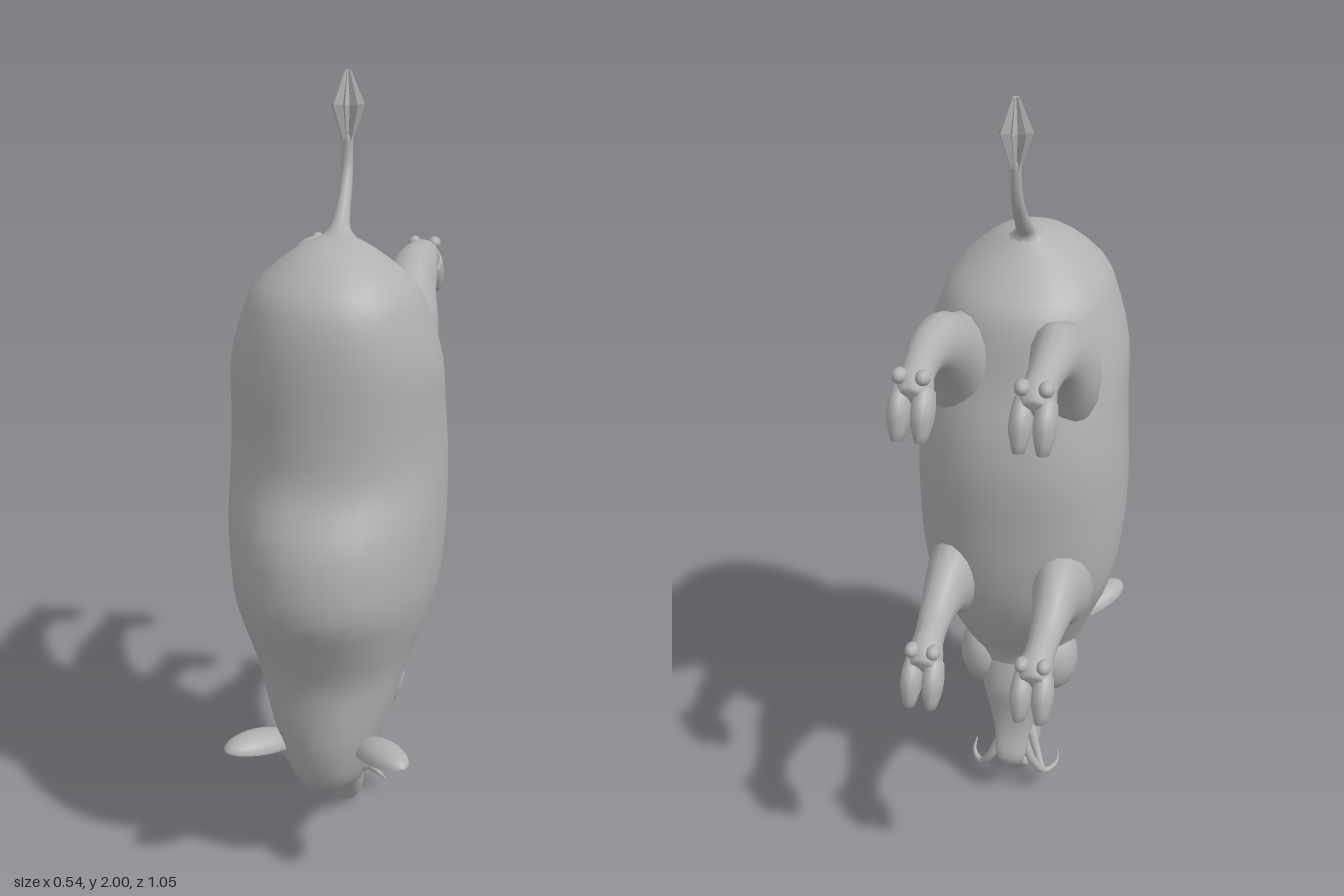
import * as THREE from 'three';

const hide = new THREE.MeshStandardMaterial({ color: 0xb0b0b0 });

// Catmull-Rom subdivision of section rows
function refine(rows, k) {
  const out = [];
  const at = i => rows[Math.min(Math.max(i, 0), rows.length - 1)];
  for (let i = 0; i < rows.length - 1; i++) {
    for (let s = 0; s < k; s++) {
      const t = s / k;
      out.push(at(i).map((b, c) => {
        const a = at(i - 1)[c], d = at(i + 1)[c], e = at(i + 2)[c];
        return b + 0.5 * t * (d - a + t * (2 * a - 5 * b + 4 * d - e + t * (3 * (b - d) + e - a)));
      }));
    }
  }
  out.push(rows[rows.length - 1]);
  return out;
}

// Loft of oval sections; row = [z, y of one edge, z, y of opposite edge, half width, centre x, widest fraction]
function loft(rows, { n = 24, k = 3, power = 1, star = 1 } = {}) {
  const pos = [], idx = [];
  const sections = refine(rows.map(r => [...r.slice(0, 5), r[5] ?? 0, r[6] ?? 0.5]), k);
  const soft = v => Math.sign(v) * Math.abs(v) ** power;
  for (const [pz, py, qz, qy, w, cx, m] of sections) {
    for (let j = 0; j < n; j++) {
      const a = j / n * Math.PI * 2, r = j % 2 ? star : 1;
      const c = soft(Math.cos(a)) * r, s = soft(Math.sin(a)) * r;
      const t = m + s * (s > 0 ? 1 - m : m);
      pos.push(cx + c * w, py + (qy - py) * t, pz + (qz - pz) * t);
    }
  }
  const last = sections.length - 1;
  for (let i = 0; i < last; i++) {
    for (let j = 0; j < n; j++) {
      const a = i * n + j, b = i * n + (j + 1) % n;
      idx.push(a, b, b + n, a, b + n, a + n);
    }
  }
  // end caps
  for (const i of [0, last]) {
    const [pz, py, qz, qy, , cx] = sections[i], c = pos.length / 3;
    pos.push(cx, (py + qy) / 2, (pz + qz) / 2);
    for (let j = 0; j < n; j++) {
      const a = i * n + j, b = i * n + (j + 1) % n;
      idx.push(c, ...(i ? [a, b] : [b, a]));
    }
  }
  const g = new THREE.BufferGeometry();
  g.setAttribute('position', new THREE.Float32BufferAttribute(pos, 3));
  g.setIndex(idx);
  g.computeVertexNormals();
  return g;
}

export function createModel() {
  const model = new THREE.Group();
  model.name = 'boar';
  const add = (name, geometry, parent = model) => {
    const mesh = new THREE.Mesh(geometry, hide);
    mesh.name = name;
    parent.add(mesh);
    return mesh;
  };
  const blob = (name, x, y, z, rx, ry, rz) => {
    const mesh = add(name, new THREE.SphereGeometry(1, 16, 12));
    mesh.position.set(x, y, z);
    mesh.scale.set(rx, ry, rz);
    return mesh;
  };

  // Trunk, skull and upper snout, rump to nose
  add('body', loft([
    [0.08, 1.63, 0.16, 1.635, 0.03, 0, 0.5],
    [0.03, 1.59, 0.26, 1.615, 0.10, 0, 0.5],
    [-0.07, 1.51, 0.36, 1.54, 0.19, 0, 0.5],
    [-0.11, 1.44, 0.40, 1.46, 0.225, 0, 0.48],
    [-0.14, 1.32, 0.415, 1.35, 0.257, 0, 0.46],
    [-0.18, 1.2, 0.42, 1.2, 0.263, 0, 0.44],
    [-0.20, 1.08, 0.435, 1.08, 0.27, 0, 0.42],
    [-0.20, 0.95, 0.505, 0.95, 0.272, 0, 0.38],
    [-0.195, 0.8, 0.525, 0.8, 0.265, 0, 0.37],
    [-0.175, 0.68, 0.48, 0.69, 0.245, 0, 0.38],
    [-0.13, 0.57, 0.435, 0.58, 0.205, 0, 0.42],
    [-0.075, 0.47, 0.428, 0.47, 0.17, 0, 0.45],
    [-0.06, 0.38, 0.42, 0.38, 0.145, 0, 0.45],
    [-0.01, 0.31, 0.385, 0.28, 0.115, 0, 0.45],
    [0.025, 0.25, 0.31, 0.22, 0.095, 0, 0.45],
    [0.02, 0.19, 0.20, 0.185, 0.075, 0, 0.5],
    [-0.005, 0.13, 0.125, 0.115, 0.058, 0, 0.5],
    [-0.025, 0.09, 0.07, 0.055, 0.052, 0, 0.5],
    [-0.03, 0.065, 0.025, 0.008, 0.04, 0, 0.5],
    [-0.02, 0.05, 0.01, 0.005, 0.02, 0, 0.5],
  ], { n: 32, power: 0.92 }));

  // Open lower jaw
  add('lowerJaw', loft([
    [-0.06, 0.46, 0.06, 0.44, 0.10],
    [-0.092, 0.36, 0.04, 0.34, 0.095],
    [-0.09, 0.28, -0.02, 0.28, 0.07],
    [-0.098, 0.21, -0.06, 0.21, 0.05],
    [-0.122, 0.145, -0.08, 0.15, 0.043],
    [-0.112, 0.11, -0.092, 0.115, 0.025],
  ], { n: 16 }));

  // Tail with a flared root
  add('tail', loft([
    [0.17, 1.615, 0.05, 1.6, 0.07],
    [0.12, 1.645, 0.07, 1.63, 0.03],
    [0.07, 1.685, 0.04, 1.66, 0.02],
    [0.02, 1.74, -0.008, 1.72, 0.016],
    [-0.005, 1.79, -0.03, 1.78, 0.014],
    [-0.01, 1.85, -0.035, 1.85, 0.012],
  ], { n: 10 }));
  add('tailTuft', loft([
    [-0.01, 1.83, -0.034, 1.83, 0.012],
    [0.02, 1.92, -0.064, 1.92, 0.042],
    [-0.014, 2, -0.03, 2, 0.008],
  ], { n: 16, k: 1, star: 0.5 }).toNonIndexed()).geometry.computeVertexNormals();

  // Leg sections as [upper z, y, lower z, y, half width, distance from the middle]
  const hindLeg = [
    [0.02, 1.46, 0, 1.16, 0.09, 0.12],
    [-0.09, 1.49, -0.10, 1.21, 0.088, 0.135],
    [-0.19, 1.537, -0.16, 1.31, 0.07, 0.135],
    [-0.26, 1.543, -0.235, 1.39, 0.058, 0.142],
    [-0.34, 1.535, -0.32, 1.438, 0.046, 0.143],
    [-0.41, 1.52, -0.40, 1.438, 0.039, 0.14],
    [-0.465, 1.505, -0.435, 1.415, 0.046, 0.137],
    [-0.49, 1.475, -0.455, 1.405, 0.035, 0.137],
  ];
  const foreLeg = [
    [0, 0.82, 0, 0.56, 0.09, 0.12],
    [-0.1, 0.868, -0.11, 0.62, 0.085, 0.135],
    [-0.19, 0.868, -0.17, 0.665, 0.065, 0.14],
    [-0.26, 0.838, -0.24, 0.70, 0.052, 0.143],
    [-0.34, 0.795, -0.33, 0.715, 0.041, 0.143],
    [-0.41, 0.782, -0.395, 0.695, 0.038, 0.14],
    [-0.465, 0.765, -0.43, 0.675, 0.046, 0.137],
    [-0.49, 0.735, -0.455, 0.665, 0.035, 0.137],
  ];
  // Cloven toe, relative to the foot height
  const toe = [
    [-0.465, 0.06, -0.425, 0, 0.022],
    [-0.50, 0.035, -0.435, -0.02, 0.027],
    [-0.522, -0.005, -0.455, -0.045, 0.026],
    [-0.522, -0.06, -0.49, -0.068, 0.014],
  ];
  for (const s of [1, -1]) {
    const side = s > 0 ? 'left' : 'right';
    for (const [name, rows, h] of [['HindLeg', hindLeg, 1.425], ['ForeLeg', foreLeg, 0.68]]) {
      const leg = new THREE.Group();
      leg.name = side + name;
      model.add(leg);
      add('limb', loft(rows.map(r => [...r.slice(0, 5), s * r[5]]), { n: 16 }), leg);
      for (const d of [-1, 1]) {
        const x = s * 0.137 + d * 0.027;
        add('toe', loft(toe.map(([a, b, c, e, w]) => [a, b + h, c, e + h, w, x]), { n: 10, k: 2 }), leg);
        const claw = add('dewclaw', new THREE.SphereGeometry(0.018, 10, 8), leg);
        claw.position.set(x, h + 0.075, -0.465);
        claw.scale.z = 1.3;
      }
    }

    // Cupped ear
    const ear = new THREE.SphereGeometry(1, 20, 16);
    const p = ear.attributes.position;
    for (let i = 0; i < p.count; i++) if (p.getZ(i) > 0) p.setZ(i, -0.35 * p.getZ(i));
    ear.scale(0.052, 0.108, 0.04);
    const along = new THREE.Vector3(0.62 * s, 0.18, 0.76).normalize();
    const across = along.clone().cross(new THREE.Vector3(0.1 * s, -1, 0.1)).normalize();
    const facing = across.clone().cross(along);
    ear.applyMatrix4(new THREE.Matrix4().makeBasis(across, along, facing).setPosition(0.155 * s, 0.375, 0.375));
    ear.computeVertexNormals();
    add(side + 'Ear', ear);

    // Cheek, brow and eye
    blob(side + 'Cheek', 0.095 * s, 0.42, 0.02, 0.07, 0.10, 0.085);
    blob(side + 'Brow', 0.085 * s, 0.30, 0.255, 0.035, 0.045, 0.04);
    blob(side + 'Eye', 0.103 * s, 0.275, 0.225, 0.014, 0.016, 0.016);
    blob(side + 'Nostril', 0.022 * s, 0.055, -0.012, 0.018, 0.022, 0.022);

    // Curling tusks from each jaw
    const tusks = {
      LowerTusk: [[0.03, 0.19, -0.075], [0.06, 0.12, -0.085], [0.095, 0.075, -0.07], [0.122, 0.085, -0.035], [0.118, 0.115, -0.015]],
      UpperTusk: [[0.035, 0.16, 0.01], [0.06, 0.10, -0.02], [0.085, 0.06, -0.045], [0.11, 0.05, -0.03]],
    };
    for (const [name, pts] of Object.entries(tusks)) {
      const path = new THREE.CatmullRomCurve3(pts.map(([x, y, z]) => new THREE.Vector3(x * s, y, z)));
      const g = new THREE.TubeGeometry(path, 14, 0.014, 8);
      const v = new THREE.Vector3(), c = new THREE.Vector3(), q = g.attributes.position;
      // taper towards the tip
      for (let i = 0; i < q.count; i++) {
        const t = Math.floor(i / 9) / 14;
        path.getPointAt(t, c);
        v.fromBufferAttribute(q, i).lerp(c, 0.85 * t * t);
        q.setXYZ(i, v.x, v.y, v.z);
      }
      add(side + name, g);
    }
  }
  return model;
}
